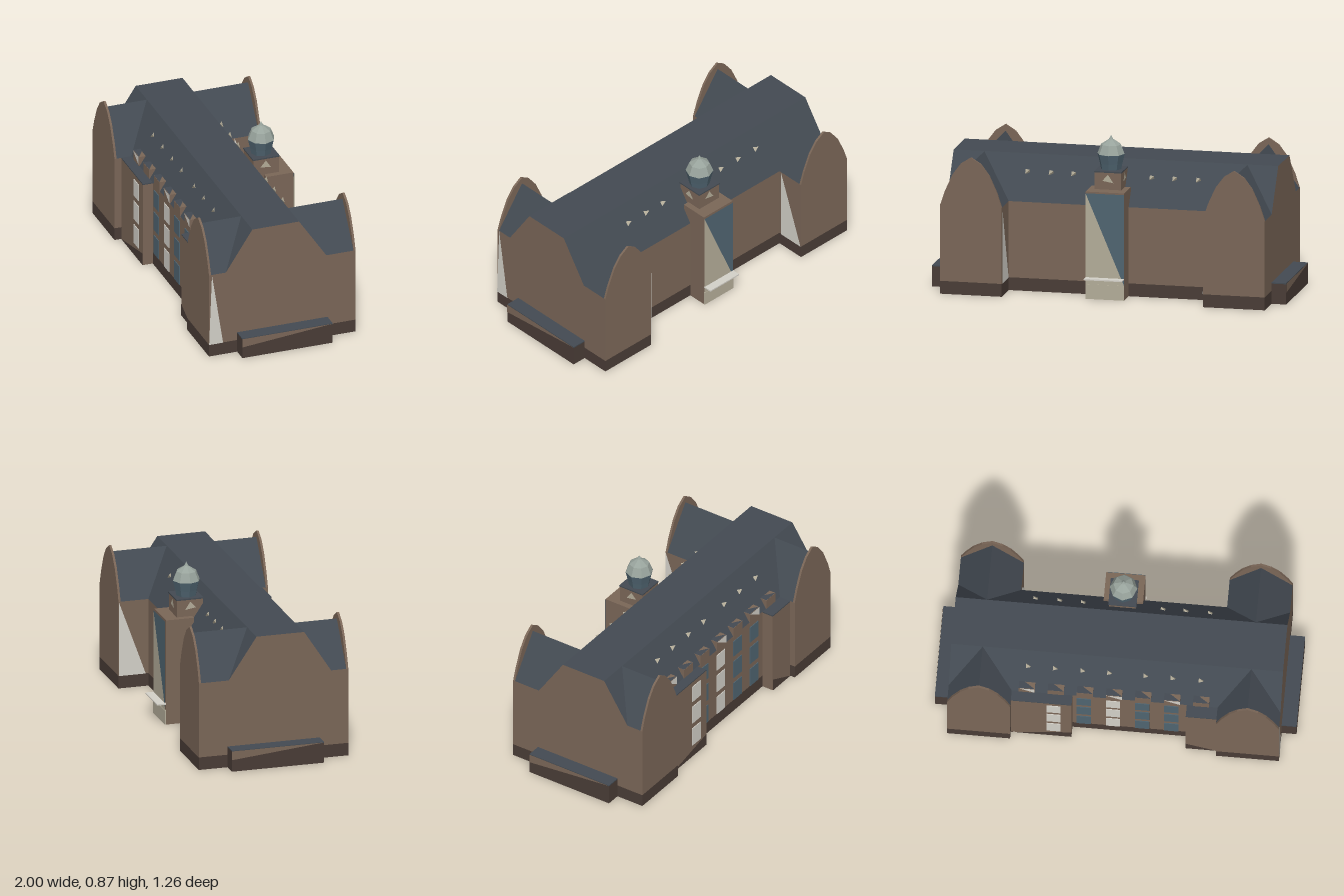
import * as THREE from 'three';

const material = (name, color, side = THREE.FrontSide) => {
  const m = new THREE.MeshStandardMaterial({ color, side, flatShading: true });
  m.name = name;
  return m;
};

export function createModel() {
  const wall = material('brownStone', 0x7a6657, THREE.DoubleSide);
  const plinth = material('darkPlinth', 0x493c36, THREE.DoubleSide);
  const slate = material('slate', 0x434a52, THREE.DoubleSide);
  const glass = material('blueGlass', 0x4f6470, THREE.DoubleSide);
  const white = material('white', 0xd3d0c8, THREE.DoubleSide);
  const cream = material('cream', 0xb3ac98, THREE.DoubleSide);
  const copper = material('paleCopper', 0x98a39c, THREE.DoubleSide);

  const model = new THREE.Group();
  model.name = 'manor';
  const hall = new THREE.Group();
  hall.name = 'building';
  hall.rotation.y = -Math.PI / 12; // the plan stands at an angle to the axes
  model.add(hall);

  const add = (name, geo, mat, parent = hall) => {
    const mesh = new THREE.Mesh(geo, mat);
    mesh.name = name;
    parent.add(mesh);
    return mesh;
  };
  // box from its limits along x, y and z
  const box = (name, mat, x0, x1, y0, y1, z0, z1, parent = hall) => {
    const geo = new THREE.BoxGeometry(x1 - x0, y1 - y0, z1 - z0);
    geo.translate((x0 + x1) / 2, (y0 + y1) / 2, (z0 + z1) / 2);
    return add(name, geo, mat, parent);
  };
  // flat panel with three corners
  const tri = (name, mat, corners, parent = hall) => {
    const geo = new THREE.BufferGeometry();
    geo.setAttribute('position', new THREE.Float32BufferAttribute(corners.flat(), 3));
    geo.computeVertexNormals();
    return add(name, geo, mat, parent);
  };
  const extrude = (pts, depth) => new THREE.ExtrudeGeometry(
    new THREE.Shape(pts.map(([x, y]) => new THREE.Vector2(x, y))),
    { depth, bevelEnabled: false });

  const EAVE = 0.485, TOP = 0.715, END = 0.885, FRONT = 0.32, BACK = -0.25;

  // main block with a flat-topped roof
  box('mainPlinth', plinth, -END, END, 0, 0.07, BACK, FRONT);
  box('mainWalls', wall, -END, END, 0.07, EAVE, BACK, FRONT);
  const roofGeo = extrude([[-FRONT, EAVE], [-BACK, EAVE], [0.095, TOP], [-0.17, TOP]], END * 2);
  roofGeo.translate(0, 0, -END);
  roofGeo.rotateY(Math.PI / 2);
  add('mainRoof', roofGeo, [wall, slate]);

  // four corner wings with curved gables
  const half = [[0.168, 0.07], [0.168, EAVE], [0.143, 0.56], [0.1, 0.655], [0.055, 0.715]];
  const gable = [...half, [0, 0.75], ...half.map(([x, y]) => [-x, y]).reverse()];
  for (const sx of [-1, 1]) for (const sz of [-1, 1]) {
    const wing = new THREE.Group();
    wing.name = (sz > 0 ? 'front' : 'back') + (sx > 0 ? 'Left' : 'Right') + 'Wing';
    wing.position.x = sx * 0.717;
    wing.rotation.y = sz > 0 ? 0 : Math.PI;
    hall.add(wing);
    box('wingPlinth', plinth, -0.168, 0.168, 0, 0.07, 0.1, 0.416, wing);
    box('wingWalls', wall, -0.168, 0.168, 0.07, EAVE, 0.1, 0.405, wing);
    add('wingRoof', extrude([[-0.168, EAVE], [0.168, EAVE], [0, TOP - 0.001]], 0.405),
      [wall, slate], wing);
    add('gable', extrude(gable, 0.012), wall, wing).position.z = 0.404;
  }

  // pale triangular panels on the wing sides
  tri('sidePanel', white, [[0.888, EAVE, 0.4], [0.888, 0.07, 0.416], [0.888, 0.07, 0.337]]);
  tri('sidePanel', white, [[-0.546, EAVE, -0.265], [-0.546, 0.07, -0.265], [-0.546, 0.07, -0.415]]);
  tri('sidePanel', white, [[0.546, EAVE, -0.415], [0.546, 0.07, -0.415], [0.546, 0.07, -0.265]]);

  // shallow bays beside the front wings
  for (const [x0, x1, z, high] of [[-0.55, -0.225, 0.376, -0.225], [0.385, 0.55, 0.386, 0.385]]) {
    box('bay', wall, x0, x1, 0, EAVE - 0.006, FRONT - 0.02, z);
    box('bayRoof', slate, x0, x1, EAVE - 0.006, EAVE, FRONT - 0.02, z);
    tri('bayPlinth', plinth, [[x0, 0, z + 0.002], [x1, 0, z + 0.002], [high, 0.07, z + 0.002]]);
  }

  // windows, five columns of three
  [white, glass, white, glass, glass].forEach((mat, i) => {
    const x = -0.321 + i * 0.156, z = i === 0 ? 0.376 : FRONT;
    for (const [y0, y1] of [[0.072, 0.182], [0.215, 0.322], [0.355, 0.452]])
      box('window', mat, x - 0.038, x + 0.038, y0, y1, z - 0.002, z + 0.004);
  });

  // dormers along the front eave
  for (let i = 0; i < 7; i++) {
    const x = (i - 3) * 0.155 - 0.004, x0 = x - 0.043, x1 = x + 0.043;
    box('dormer', wall, x0, x1, EAVE - 0.01, 0.539, 0.265, FRONT + 0.003);
    tri('dormerRoof', slate, [[x0, 0.541, 0.265], [x0, 0.541, 0.323], [x1, 0.541, 0.323]]);
    if ([0, 3, 5].includes(i))
      tri('dormerPanel', white, [[x0, 0.539, 0.325], [x1, 0.49, 0.325], [x1, 0.539, 0.325]]);
  }

  // small roof vents
  const vent = (x, z) => {
    const mesh = add('roofVent', new THREE.TetrahedronGeometry(0.022), cream);
    mesh.scale.set(1, 0.9, 0.7);
    mesh.position.set(x, 0.63, z);
  };
  [-0.468, -0.325, -0.178, -0.035, 0.158, 0.303, 0.453].forEach(x => vent(x, 0.228));
  [-0.464, -0.335, -0.21, 0.216, 0.338, 0.467].forEach(x => vent(x, -0.156));

  // low porch at each end
  for (const s of [1, -1]) {
    const porch = new THREE.Group();
    porch.name = s > 0 ? 'leftPorch' : 'rightPorch';
    porch.rotation.y = s > 0 ? 0 : Math.PI;
    hall.add(porch);
    box('porchBase', plinth, 0.88, 0.965, 0, 0.11, -0.256, 0.256, porch);
    box('porchRoof', slate, 0.88, 0.965, 0.11, 0.116, -0.256, 0.256, porch);
    tri('porchPanel', wall, [[0.967, 0.114, 0.256], [0.967, 0.114, -0.256], [0.967, 0.065, 0.256]], porch);
  }

  // rear stair tower with a tall split window and a canopy
  box('stairTower', wall, -0.105, 0.105, 0, 0.583, -0.355, -0.2);
  const zb = -0.36;
  tri('towerPaleGlass', cream, [[0.105, 0.575, zb], [-0.105, 0.08, zb], [0.105, 0.08, zb]]);
  tri('towerBlueGlass', glass, [[0.105, 0.575, zb], [-0.105, 0.575, zb], [-0.105, 0.08, zb]]);
  box('towerFoot', cream, -0.105, 0.105, 0, 0.08, -0.362, -0.355);
  box('canopy', white, -0.105, 0.105, 0.111, 0.118, -0.405, -0.355);

  // turret with small panels and a faceted dome
  box('turret', wall, -0.072, 0.072, 0.5, 0.675, -0.285, -0.14);
  box('turretRoof', slate, -0.075, 0.075, 0.675, 0.682, -0.288, -0.137);
  tri('turretPanel', cream, [[-0.03, 0.62, -0.287], [0.03, 0.63, -0.287], [0, 0.665, -0.287]]);
  for (const s of [-1, 1])
    tri('turretPanel', cream, [[s * 0.074, 0.62, -0.24], [s * 0.074, 0.63, -0.18], [s * 0.074, 0.665, -0.21]]);
  const lathe = (name, mat, pts) => {
    const mesh = add(name, new THREE.LatheGeometry(pts.map(p => new THREE.Vector2(...p)), 8), mat);
    mesh.position.set(0, 0, -0.21);
  };
  lathe('domeBase', glass, [[0.055, 0.68], [0.062, 0.715], [0.074, 0.765]]);
  lathe('domeTop', copper, [[0.074, 0.765], [0.054, 0.815], [0.012, 0.843], [0, 0.865]]);

  return model;
}
